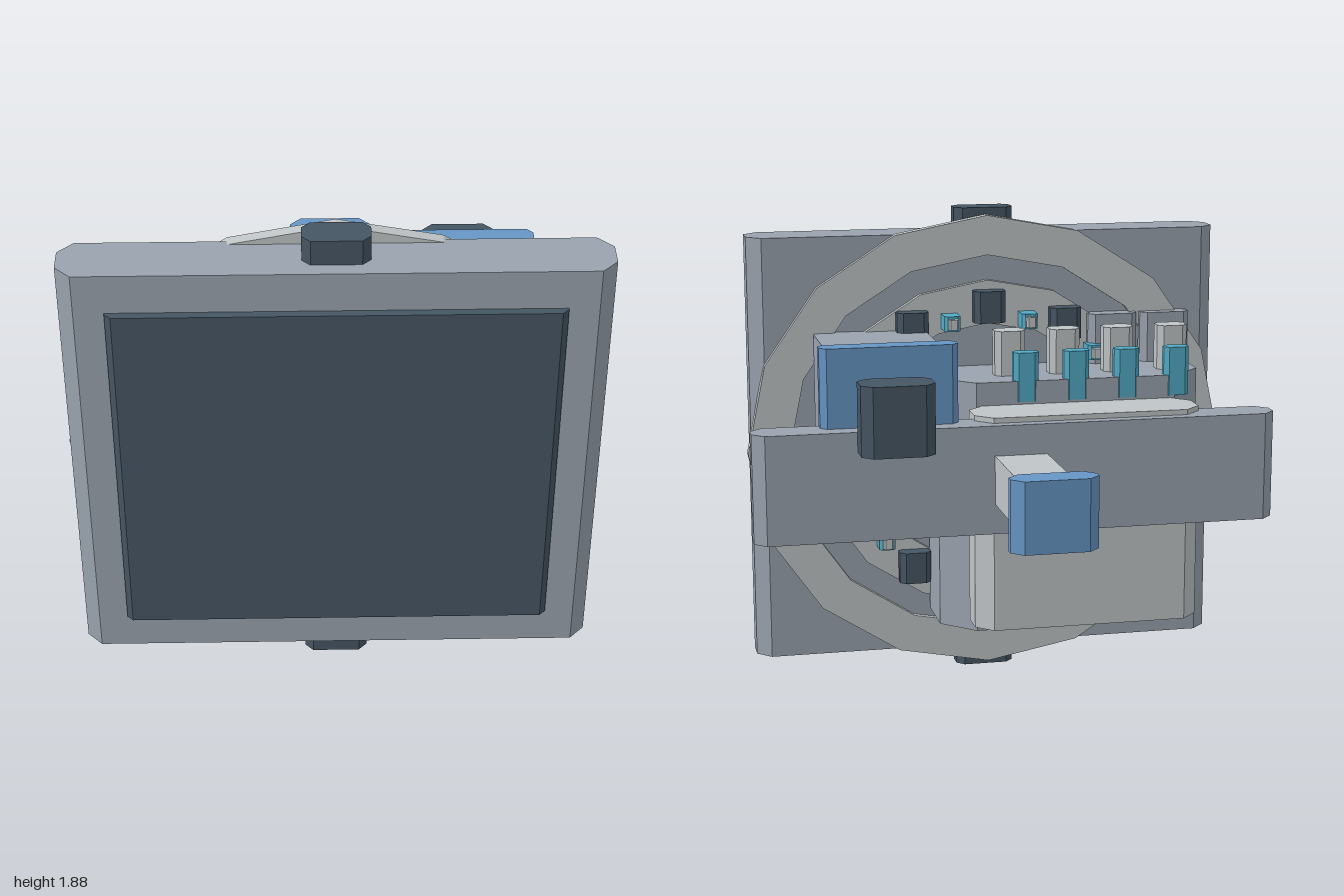
import * as THREE from 'three';

const mat = (name, color) => {
  const m = new THREE.MeshStandardMaterial({ color, flatShading: true });
  m.name = name;
  return m;
};

export function createModel() {
  const root = new THREE.Group();
  root.name = 'panelModule';
  const slate = mat('slate grey', 0x9aa3ae);
  const dark = mat('dark blue grey', 0x465664);
  const light = mat('light grey', 0xc0c5c7);
  const blue = mat('blue', 0x6796c6);
  const teal = mat('teal', 0x52abc6);

  // Block with chamfered upright edges, given by its limits
  function block(name, material, x0, x1, y0, y1, z0, z1, c = 0) {
    const w = (x1 - x0) / 2, d = (z1 - z0) / 2;
    const pts = c
      ? [[w, -d + c], [w, d - c], [w - c, d], [c - w, d], [-w, d - c], [-w, c - d], [c - w, -d], [w - c, -d]]
      : [[w, -d], [w, d], [-w, d], [-w, -d]];
    const shape = new THREE.Shape(pts.map(p => new THREE.Vector2(...p)));
    const geo = new THREE.ExtrudeGeometry(shape, { depth: y1 - y0, bevelEnabled: false });
    geo.rotateX(-Math.PI / 2);
    const mesh = new THREE.Mesh(geo, material);
    mesh.name = name;
    mesh.position.set((x0 + x1) / 2, y0, (z0 + z1) / 2);
    root.add(mesh);
  }

  // Flat sixteen-sided oval ring
  const CY = 0.945;
  function ring(name, rx, ry, inner, z0, z1) {
    const oval = k => Array.from({ length: 16 }, (_, i) => {
      const a = i * Math.PI / 8;
      return new THREE.Vector2(rx * k * Math.cos(a), ry * k * Math.sin(a));
    });
    const shape = new THREE.Shape(oval(1));
    shape.holes.push(new THREE.Path(oval(inner)));
    const mesh = new THREE.Mesh(
      new THREE.ExtrudeGeometry(shape, { depth: z1 - z0, bevelEnabled: false }), light);
    mesh.name = name;
    mesh.position.set(0, CY, z0);
    root.add(mesh);
  }

  // Front panel, screen and end tabs
  block('frontPanel', slate, -0.94, 0.94, 0.1, 1.79, 0.495, 0.695, 0.055);
  block('screen', dark, -0.78, 0.78, 0.25, 1.64, 0.64, 0.725, 0.022);
  block('topTab', dark, -0.117, 0.117, 1.74, 1.885, 0.527, 0.642, 0.03);
  block('bottomTab', dark, -0.117, 0.117, 0, 0.15, 0.527, 0.642, 0.03);

  // Rings on the back of the panel
  ring('outerRing', 0.96, 0.915, 0.83, 0.47, 0.515);
  ring('innerRing', 0.7, 0.66, 0.74, 0.47, 0.5);

  // Main cabinets
  block('mainCabinet', slate, -0.8, 0.24, 0.27, 1.26, 0.13, 0.6, 0.125);
  block('rearCabinet', light, -0.72, 0.157, 0.34, 1.17, -0.1, 0.13, 0.062);
  block('sideCabinet', slate, 0.255, 0.695, 1.0, 1.415, 0.01, 0.49, 0.03);
  block('sidePlate', blue, 0.22, 0.74, 0.965, 1.45, -0.072, 0.015, 0.025);
  block('sideKnob', dark, 0.34, 0.615, 1.075, 1.34, -0.275, -0.105, 0.04);

  // Crossbar and rear arm
  block('crossbar', slate, -1, 1, 0.735, 1.15, -0.145, 0, 0.045);
  block('rearArm', light, -0.1, 0.1, 0.85, 1.035, -0.63, -0.1);
  block('armEnd', blue, -0.16, 0.16, 0.81, 1.075, -0.725, -0.61, 0.042);

  // Rows of pegs on the main cabinet
  for (let i = 0; i < 4; i++) {
    const xl = -0.7 + i * 0.218, xt = -0.683 + i * 0.2;
    block('lightPeg', light, xl - 0.06, xl + 0.06, 1.2, 1.435, 0.245, 0.335, 0.022);
    block('tealPeg', teal, xt - 0.05, xt + 0.05, 1.18, 1.37, 0.127, 0.186, 0.018);
  }

  // Low plates beside the main cabinet
  for (const x of [-0.72, -0.505])
    block('backPlate', slate, x - 0.1, x + 0.1, 1.1, 1.46, 0.425, 0.5, 0.025);

  // Circle of dark buttons with small indicators between them
  for (let i = 0; i < 12; i++) {
    const a = i * Math.PI / 6, b = a + Math.PI / 12;
    const x = 0.615 * Math.sin(a), y = CY + 0.56 * Math.cos(a);
    block('ringButton', dark, x - 0.063, x + 0.063, y - 0.063, y + 0.063, 0.403, 0.48, 0.022);
    const u = 0.6 * Math.sin(b), v = CY + 0.52 * Math.cos(b);
    block('indicator', teal, u - 0.032, u + 0.032, v - 0.03, v + 0.03, 0.385, 0.48, 0.012);
    block('indicatorTip', light, u - 0.02, u + 0.02, v - 0.02, v + 0.02, 0.357, 0.39, 0.007);
  }
  return root;
}
